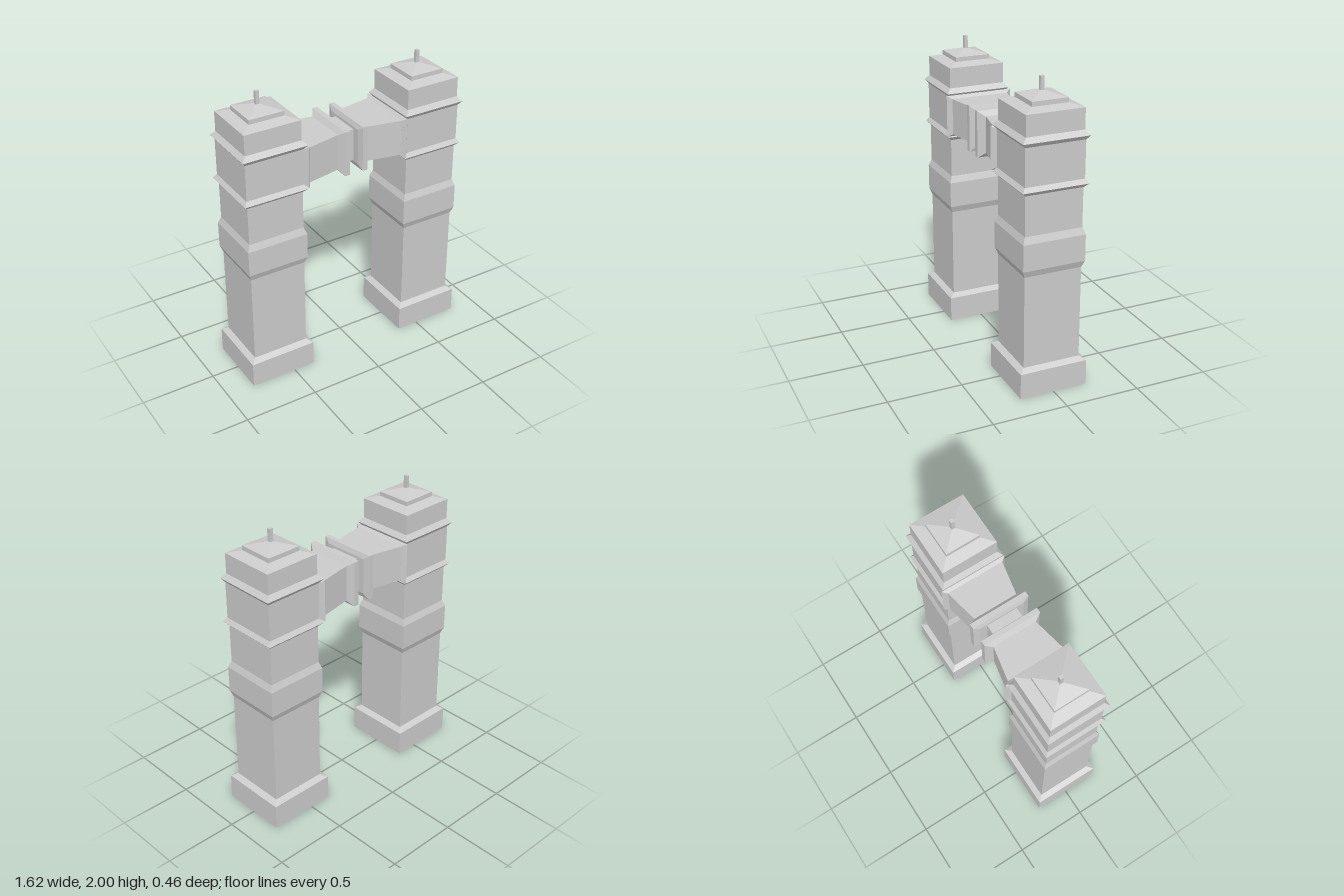
import * as THREE from 'three';

const material = new THREE.MeshStandardMaterial({ color: 0xcccccc, flatShading: true });

// Closed solid skinned over rectangular sections [height, halfWidth, halfDepth = halfWidth], stacked along y
function loft(name, sections) {
  const rings = sections.map(([y, w, d = w]) => [[w, y, d], [w, y, -d], [-w, y, -d], [-w, y, d]]);
  const positions = [];
  const quad = (a, b, c, d) => positions.push(...a, ...b, ...c, ...a, ...c, ...d);
  for (let k = 0; k < rings.length - 1; k++) {
    const lower = rings[k], upper = rings[k + 1];
    for (let i = 0; i < 4; i++) {
      const j = (i + 1) % 4;
      quad(lower[i], lower[j], upper[j], upper[i]);
    }
  }
  quad(...[...rings[0]].reverse());
  quad(...rings[rings.length - 1]);
  const geometry = new THREE.BufferGeometry();
  geometry.setAttribute('position', new THREE.Float32BufferAttribute(positions, 3));
  geometry.computeVertexNormals();
  const mesh = new THREE.Mesh(geometry, material);
  mesh.name = name;
  return mesh;
}

function createPillar() {
  const pillar = new THREE.Group();
  pillar.name = 'pillar';
  pillar.add(
    loft('base', [[0, 0.23], [0.172, 0.23], [0.195, 0.193]]),
    loft('shaft', [[0.195, 0.193], [1.34, 0.193]]),
    loft('shaftBand', [[0.815, 0.193], [0.86, 0.21], [1.035, 0.21], [1.08, 0.193]]),
    loft('lowerTrim', [[1.34, 0.193], [1.367, 0.22], [1.395, 0.199]]),
    loft('headBlock', [[1.395, 0.199], [1.64, 0.199]]),
    loft('upperTrim', [[1.64, 0.199], [1.668, 0.22], [1.7, 0.193]]),
    loft('topBlock', [[1.7, 0.193], [1.835, 0.193], [1.855, 0.12]]),
    loft('cap', [[1.855, 0.12], [1.885, 0.12], [1.915, 0.012]]),
    loft('rod', [[1.91, 0.012], [2, 0.012]])
  );
  return pillar;
}

// One half of the bridge, running from the centre outward along +x (sections: x, half height, half depth)
function createDuct() {
  const duct = new THREE.Group();
  duct.name = 'duct';
  duct.add(
    loft('couplingFlange', [[0.035, 0.122, 0.16], [0.047, 0.154, 0.2], [0.082, 0.154, 0.2], [0.108, 0.122, 0.155]]),
    loft('taperedDuct', [[0.108, 0.122, 0.152], [0.34, 0.122, 0.198]]),
    loft('pillarFlange', [[0.338, 0.122, 0.198], [0.36, 0.141, 0.23], [0.383, 0.122, 0.199]])
  );
  duct.rotation.z = -Math.PI / 2;
  return duct;
}

export function createModel() {
  const model = new THREE.Group();
  model.name = 'twinPillarGate';

  // Matching halves, the second turned to face the first
  for (const [name, turn] of [['leftHalf', 0], ['rightHalf', Math.PI]]) {
    const half = new THREE.Group();
    half.name = name;
    const pillar = createPillar();
    pillar.position.x = 0.581;
    const duct = createDuct();
    duct.position.y = 1.517;
    half.add(pillar, duct);
    half.rotation.y = turn;
    model.add(half);
  }

  // Narrow link between the two couplings
  const link = loft('centreLink', [[-0.04, 0.11, 0.107], [0.04, 0.11, 0.107]]);
  link.rotation.z = -Math.PI / 2;
  link.position.y = 1.512;
  model.add(link);

  return model;
}
